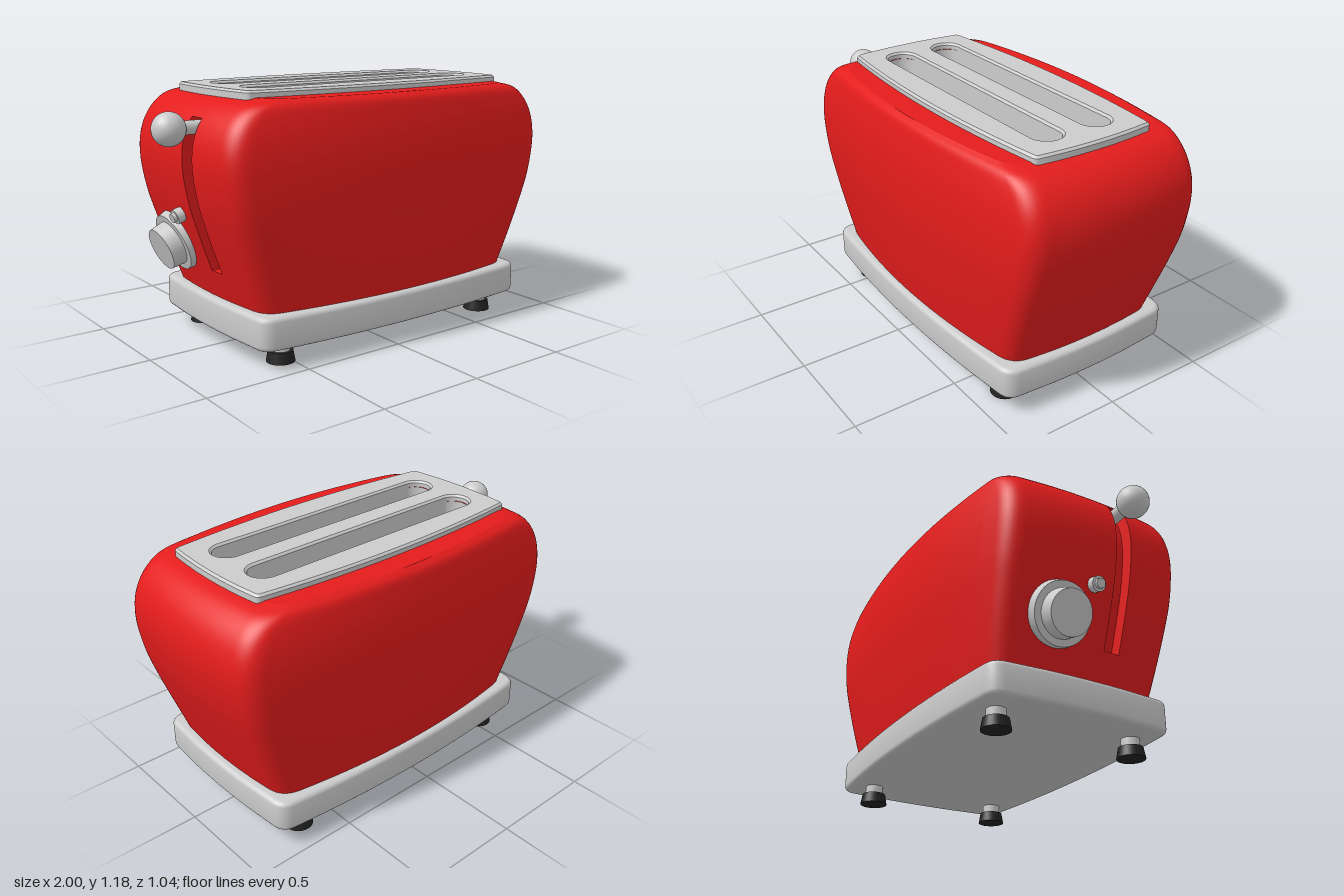
import * as THREE from 'three';
import { toCreasedNormals } from 'three/addons/utils/BufferGeometryUtils.js';

const CX = 0.07; // centre of the housing along x
const grey = new THREE.MeshStandardMaterial({ color: 0xcccccc });
const red = new THREE.MeshStandardMaterial({ color: 0xe41c1c, side: THREE.DoubleSide });
const black = new THREE.MeshStandardMaterial({ color: 0x222222 });

function add(parent, name, geometry, material, x = 0, y = 0, z = 0) {
  const mesh = new THREE.Mesh(geometry, material);
  mesh.name = name;
  mesh.position.set(x, y, z);
  parent.add(mesh);
  return mesh;
}

// Plan outline: a rectangle with bowed sides and rounded corners, as (x, z) points
function outline(a, c, bx, bz, r) {
  const X = a - bx, Z = c - bz, w = X - r, h = Z - r;
  const sideX = z => a - bx * (z / Z) ** 2;
  const frontZ = x => c - bz * (x / X) ** 2;
  const zs = [-h, -0.2, -0.1, 0, 0.08, 0.16, 0.2, h];
  const pts = [];
  const corner = (sx, sz, fromSide) => {
    const s = new THREE.Vector2(sx * sideX(h), sz * h);
    const f = new THREE.Vector2(sx * w, sz * frontZ(w));
    const k = new THREE.Vector2(sx * X, sz * Z);
    const curve = new THREE.QuadraticBezierCurve(fromSide ? s : f, k, fromSide ? f : s);
    pts.push(...curve.getPoints(8).slice(1, -1));
  };
  const long = sz => {
    for (let i = 0; i <= 16; i++) {
      const x = sz * w * (1 - i / 8);
      pts.push(new THREE.Vector2(x, sz * frontZ(x)));
    }
  };
  zs.forEach(z => pts.push(new THREE.Vector2(sideX(z), z)));
  corner(1, 1, true);
  long(1);
  corner(-1, 1, false);
  [...zs].reverse().forEach(z => pts.push(new THREE.Vector2(-sideX(z), z)));
  corner(-1, -1, true);
  long(-1);
  corner(1, -1, false);
  return pts;
}

// Stadium-shaped slot outline, running along x
function stadium(path, z, halfLength, r) {
  path.absarc(halfLength - r, z, r, -Math.PI / 2, Math.PI / 2);
  path.absarc(-halfLength + r, z, r, Math.PI / 2, Math.PI * 1.5);
  path.closePath();
  return path;
}
const SLOTS = [-0.128, 0.128];
const slotHole = z => stadium(new THREE.Path(), z, 0.635, 0.07);

// Upright extrusion of a plan shape
function slab(shape, height, bevel, segments) {
  const g = new THREE.ExtrudeGeometry(shape, {
    depth: height - 2 * bevel, bevelEnabled: bevel > 0, bevelSize: bevel, bevelThickness: bevel,
    bevelOffset: -bevel, bevelSegments: segments, curveSegments: 16,
  });
  g.translate(0, 0, bevel).rotateX(-Math.PI / 2);
  return toCreasedNormals(g, 0.6);
}

const bodyRow = (a, c) => outline(a, c, a * 0.04, c * 0.15, 0.08);

// Bulging side wall, lofted from plan outlines, with a recessed lever channel
function bodyGeometry() {
  const profile = new THREE.CatmullRomCurve3([
    [0.745, 0.24, 0.46], [0.795, 0.38, 0.482], [0.855, 0.55, 0.503], [0.9, 0.7, 0.517], [0.925, 0.87, 0.519],
    [0.912, 0.98, 0.511], [0.87, 1.065, 0.498], [0.8, 1.125, 0.484], [0.71, 1.15, 0.455],
  ].map(p => new THREE.Vector3(...p)));
  const STEP = 4, n = 8 * STEP, j0 = STEP, j1 = 6 * STEP;
  const rows = [];
  for (let j = 0; j <= n; j++) {
    const p = profile.getPoint(j / n);
    rows.push(bodyRow(p.x, p.z).map(q => new THREE.Vector3(q.x, p.y, q.y)));
  }
  const count = rows[0].length;
  const g = rows[0].findIndex(p => p.x < -0.5 && Math.abs(p.z - 0.16) < 1e-6);
  const pos = [];
  const quad = (a, b, c, d) => [a, b, c, a, c, d].forEach(v => pos.push(v.x, v.y, v.z));
  const P = (j, k) => rows[j][k % count];
  const Q = (j, k) => P(j, k).clone().setX(P(j, k).x + 0.06);
  for (let j = 0; j < n; j++) {
    for (let k = 0; k < count; k++) {
      const F = k === g && j >= j0 && j < j1 ? Q : P;
      quad(F(j, k + 1), F(j, k), F(j + 1, k), F(j + 1, k + 1));
    }
    if (j >= j0 && j < j1) {
      quad(Q(j, g), P(j, g), P(j + 1, g), Q(j + 1, g));
      quad(P(j, g + 1), Q(j, g + 1), Q(j + 1, g + 1), P(j + 1, g + 1));
    }
  }
  quad(P(j0, g + 1), P(j0, g), Q(j0, g), Q(j0, g + 1));
  quad(P(j1, g), P(j1, g + 1), Q(j1, g + 1), Q(j1, g));
  const geo = new THREE.BufferGeometry();
  geo.setAttribute('position', new THREE.Float32BufferAttribute(pos, 3));
  return toCreasedNormals(geo, 0.7);
}

export function createModel() {
  const model = new THREE.Group();
  model.name = 'toaster';

  // Housing
  add(model, 'bodyShell', bodyGeometry(), red, CX);
  const top = new THREE.Shape(bodyRow(0.71, 0.455));
  top.holes = SLOTS.map(slotHole);
  add(model, 'bodyTop', new THREE.ShapeGeometry(top, 16).rotateX(-Math.PI / 2), red, CX, 1.15);
  add(model, 'base', slab(new THREE.Shape(outline(0.785, 0.49, 0.025, 0.045, 0.06)), 0.15, 0.022, 4), grey, CX, 0.09);

  // Top plate with two bread slots
  const plate = new THREE.Shape(outline(0.745, 0.345, 0.02, 0.045, 0.02));
  plate.holes = SLOTS.map(slotHole);
  add(model, 'topPlate', slab(plate, 0.05, 0.01, 1), grey, CX - 0.005, 1.13);
  for (const z of SLOTS) {
    const ring = stadium(new THREE.Shape(), z, 0.645, 0.08);
    ring.holes = [slotHole(z)];
    add(model, 'slotLiner', slab(ring, 0.74, 0, 1), grey, CX - 0.005, 0.4);
    add(model, 'slotFloor', new THREE.BoxGeometry(1.28, 0.02, 0.15), red, CX, 0.4, -z);
  }

  // Feet
  for (const x of [-0.54, 0.665]) {
    for (const z of [-0.34, 0.34]) {
      const foot = new THREE.Group();
      foot.name = 'foot';
      foot.position.set(x, 0, z);
      add(foot, 'footPad', new THREE.CylinderGeometry(0.056, 0.065, 0.05, 32), black, 0, 0.025);
      add(foot, 'footStem', new THREE.CylinderGeometry(0.042, 0.042, 0.06, 32), grey, 0, 0.075);
      model.add(foot);
    }
  }

  // Lever
  const stem = new THREE.CylinderGeometry(0.03, 0.03, 0.12, 24).rotateZ(Math.PI / 2);
  add(model, 'leverStem', stem, grey, -0.83, 1.025, 0.12);
  add(model, 'leverBall', new THREE.SphereGeometry(0.073, 32, 20), grey, -0.93, 1.025, 0.12);

  // Browning dial and button, tilted to lie on the sloping end (local y points outwards)
  const onEnd = (name, x, y, z, tilt) => {
    const group = new THREE.Group();
    group.name = name;
    group.position.set(x, y, z);
    group.rotation.z = Math.PI / 2 + tilt;
    model.add(group);
    return group;
  };
  const dial = onEnd('dial', -0.755, 0.475, -0.165, 0.36);
  add(dial, 'dialFlange', new THREE.CylinderGeometry(0.138, 0.145, 0.04, 48), grey, 0, 0.01);
  add(dial, 'dialKnob', new THREE.CylinderGeometry(0.1, 0.107, 0.07, 48), grey, 0, 0.06);
  const button = onEnd('button', -0.82, 0.625, -0.02, 0.3);
  add(button, 'buttonCollar', new THREE.CylinderGeometry(0.034, 0.034, 0.04, 24), grey, 0, 0.005);
  add(button, 'buttonCap', new THREE.CylinderGeometry(0.022, 0.022, 0.03, 24), grey, 0, 0.025);

  return model;
}
